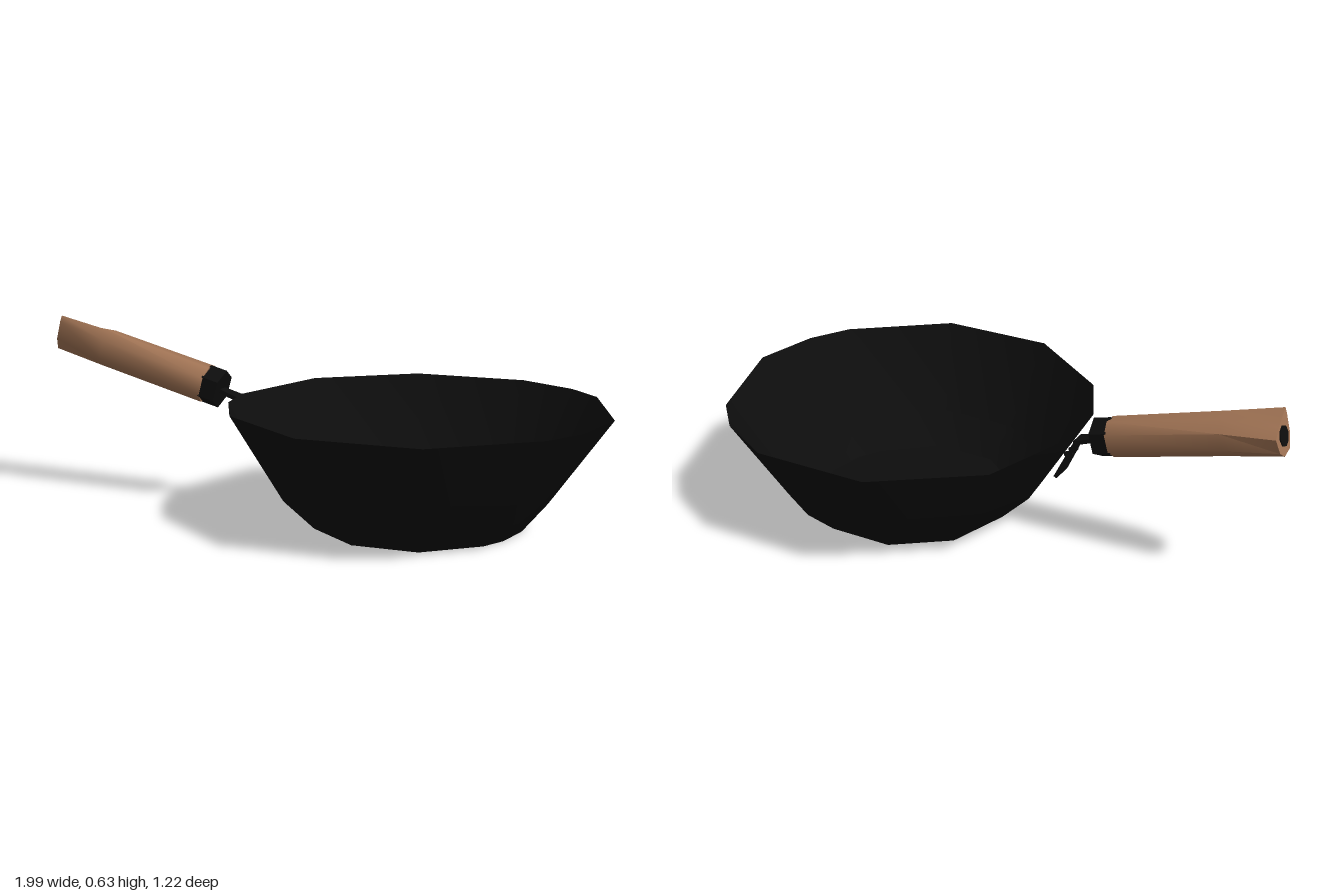
import * as THREE from 'three';
import { toCreasedNormals } from 'three/addons/utils/BufferGeometryUtils.js';

// Skin a list of equal-sized rings of [x, y, z] points, optionally closing the ends
function loft(rings, capFirst, capLast, crease) {
  const n = rings[0].length, pos = rings.flat(2), index = [];
  for (let i = 0; i < rings.length - 1; i++) {
    for (let j = 0; j < n; j++) {
      const a = i * n + j, b = i * n + (j + 1) % n;
      index.push(a, a + n, b, b, a + n, b + n);
    }
  }
  const cap = (ring, start, flip) => {
    const c = pos.length / 3;
    for (let k = 0; k < 3; k++) pos.push(ring.reduce((s, p) => s + p[k], 0) / n);
    for (let j = 0; j < n; j++) {
      const a = start + j, b = start + (j + 1) % n;
      index.push(c, flip ? b : a, flip ? a : b);
    }
  };
  if (capFirst) cap(rings[0], 0, false);
  if (capLast) cap(rings[rings.length - 1], (rings.length - 1) * n, true);
  const g = new THREE.BufferGeometry();
  g.setAttribute('position', new THREE.Float32BufferAttribute(pos, 3));
  g.setIndex(index);
  return toCreasedNormals(g, crease);
}

export function createModel() {
  const iron = new THREE.MeshStandardMaterial({ color: 0x0d0d0d, side: THREE.DoubleSide });
  iron.name = 'blackIron';
  const wood = new THREE.MeshStandardMaterial({ color: 0xa07354 });
  wood.name = 'wood';

  const model = new THREE.Group();
  model.name = 'wok';
  const add = (parent, name, geo, mat) => {
    const m = new THREE.Mesh(geo, mat);
    m.name = name;
    parent.add(m);
    return m;
  };

  // Bowl: an uneven polygon rim shrinking to a flat base
  const rim = [
    [1, 0], [0.95, 0.23], [0.87, 0.37], [0.56, 0.61], [0.16, 0.61], [-0.16, 0.37], [-0.26, 0.16],
    [-0.28, 0], [-0.16, -0.38], [0.16, -0.61], [0.56, -0.61], [0.76, -0.5], [0.87, -0.38],
  ];
  const cx = 0.36;
  const ring = (y, left, right, depth) =>
    rim.map(([x, z]) => [cx + (x - cx) * (x < cx ? left : right), y, z * depth]);
  add(model, 'bowl', loft([
    ring(0, 0.56, 0.55, 0.575),
    ring(0.1, 0.72, 0.68, 0.745),
    ring(0.39, 1, 1, 1),
  ], true, false, 0.6), iron);

  // Handle, built along local -x and tilted up
  const handle = new THREE.Group();
  handle.name = 'handle';
  handle.position.set(-0.41, 0.416, 0);
  handle.rotation.z = -0.266;
  model.add(handle);

  // Wooden grip: chamfered section that rolls and skews towards the end
  const at = (x, pts) => pts.map(([y, z]) => [x, y, z]);
  const round = [[0.062, 0.025], [0.03, 0.061], [-0.03, 0.061], [-0.062, 0.025],
    [-0.062, -0.025], [-0.03, -0.061], [0.03, -0.061], [0.062, -0.025]];
  const middle = [[0.068, 0.025], [0.035, 0.057], [-0.03, 0.056], [-0.062, 0.022],
    [-0.062, -0.03], [-0.03, -0.065], [0.028, -0.067], [0.06, -0.028]];
  const end = [[0.066, 0.042], [0.045, 0.045], [-0.02, 0.042], [-0.06, 0.02],
    [-0.067, -0.03], [-0.045, -0.06], [0.005, -0.073], [0.03, -0.035]];
  add(handle, 'grip', loft([at(0, round), at(-0.4, middle), at(-0.585, end)], true, true, 0.9), wood);

  // Dark opening in the end of the grip
  const hole = add(handle, 'endHole', new THREE.CylinderGeometry(0.034, 0.034, 0.006, 8), iron);
  hole.rotation.z = Math.PI / 2;
  hole.position.set(-0.586, -0.006, -0.012);

  // Six-sided ferrule with one edge on top
  const ferrule = add(handle, 'ferrule',
    toCreasedNormals(new THREE.CylinderGeometry(0.068, 0.068, 0.062, 6), 0.5), iron);
  ferrule.rotation.set(0, Math.PI / 2, Math.PI / 2);
  ferrule.geometry.rotateY(0);
  ferrule.rotation.set(0, 0, Math.PI / 2);
  ferrule.geometry.rotateY(Math.PI / 2);
  ferrule.position.x = 0.026;

  // Flat stem that bends down into a strap beside the bowl
  const strip = (name, a, b, wa, wb, t) => {
    const dx = b[0] - a[0], dy = b[1] - a[1], l = Math.hypot(dx, dy);
    const nx = -dy / l * t / 2, ny = dx / l * t / 2;
    const section = ([x, y], w) => [[x + nx, y + ny, w], [x + nx, y + ny, -w],
      [x - nx, y - ny, -w], [x - nx, y - ny, w]];
    add(model, name, loft([section(a, wa), section(b, wb)], true, true, 0.5), iron);
  };
  strip('stem', [-0.37, 0.402], [-0.28, 0.372], 0.02, 0.03, 0.014);
  strip('strap', [-0.286, 0.374], [-0.22, 0.235], 0.03, 0.04, 0.012);

  // Rivets joining the strap to the bowl
  for (const z of [-0.018, 0.018]) {
    const rivet = add(model, 'rivet', new THREE.CylinderGeometry(0.008, 0.008, 0.03, 6), iron);
    rivet.position.set(-0.258, 0.325, z);
    rivet.rotation.z = Math.PI / 2 - 0.45;
  }
  return model;
}
